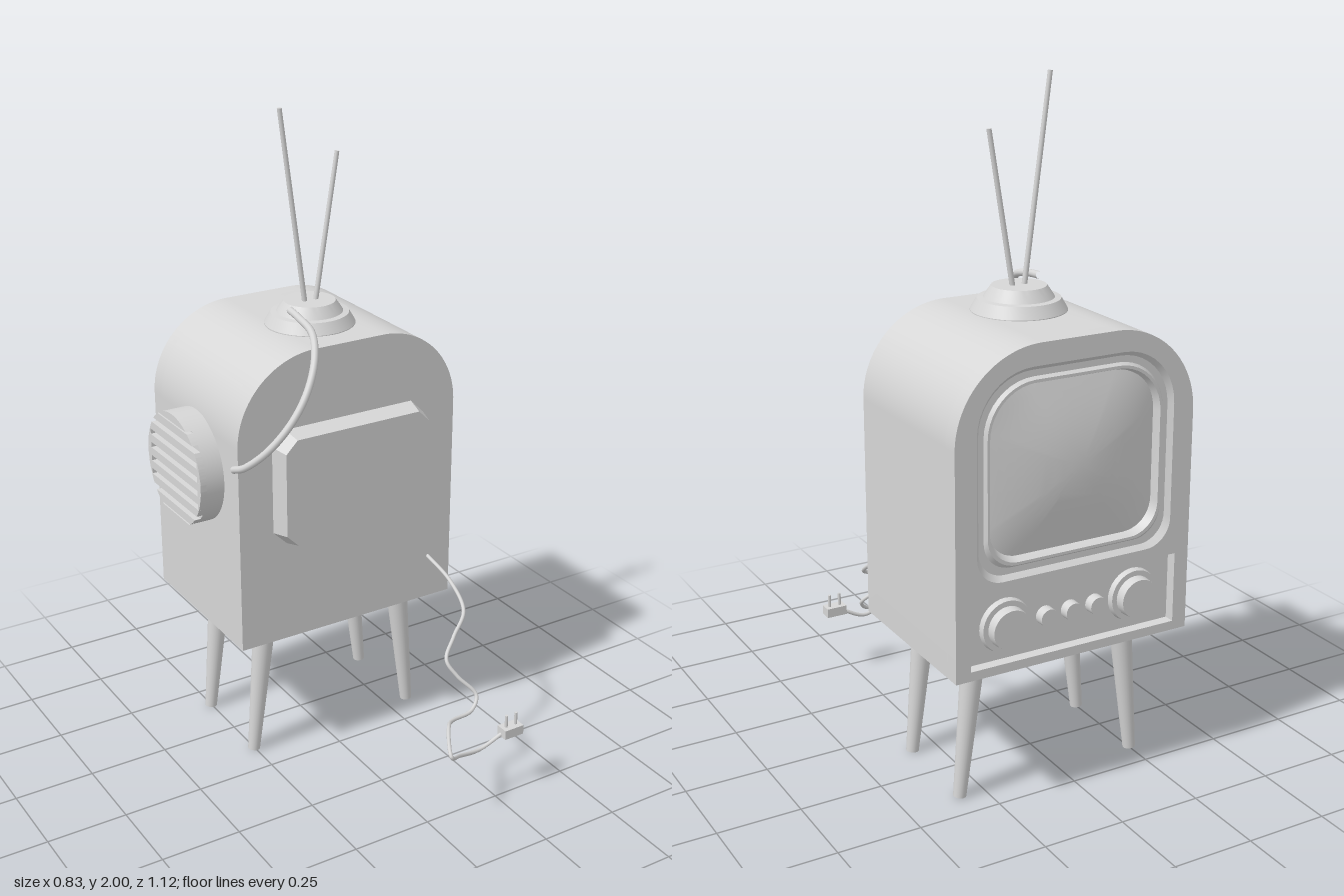
import * as THREE from 'three';
import { toCreasedNormals } from 'three/addons/utils/BufferGeometryUtils.js';

const V = (x, y, z) => new THREE.Vector3(x, y, z);
const CX = 0.038; // centre line of the cabinet
const SCREEN_Y = 0.995;

// Rounded (or chamfered, n = 1) rectangle, counter-clockwise
function outline(w, h, rTop, rBottom, n, cy = 0) {
  const pts = [];
  [[1, -1], [1, 1], [-1, 1], [-1, -1]].forEach(([sx, sy], q) => {
    const r = sy > 0 ? rTop : rBottom;
    for (let i = 0; i <= n; i++) {
      const a = (q - 1 + i / n) * Math.PI / 2;
      pts.push(new THREE.Vector2(sx * (w - r) + r * Math.cos(a), cy + sy * (h - r) + r * Math.sin(a)));
    }
  });
  return pts;
}

// Skin over rings of equal point count; a ring may be one repeated point
function loft(rings, crease) {
  const pos = [];
  const tri = (...p) => p.forEach(v => pos.push(v.x, v.y, v.z));
  for (let i = 0; i < rings.length - 1; i++) {
    const A = rings[i], B = rings[i + 1], n = A.length;
    for (let j = 0; j < n; j++) {
      const k = (j + 1) % n;
      tri(A[j], A[k], B[j]);
      if (B[j].distanceTo(B[k]) > 1e-6) tri(A[k], B[k], B[j]);
    }
  }
  const g = new THREE.BufferGeometry();
  g.setAttribute('position', new THREE.Float32BufferAttribute(pos, 3));
  return toCreasedNormals(g, crease);
}

export function createModel() {
  const model = new THREE.Group();
  model.name = 'television';
  const grey = new THREE.MeshStandardMaterial({ color: 0xd6d6d6 });
  grey.name = 'lightGrey';

  const add = (name, geo, parent = model) => {
    const m = new THREE.Mesh(geo, grey);
    m.name = name;
    parent.add(m);
    return m;
  };
  const extrude = (shape, depth) => toCreasedNormals(
    new THREE.ExtrudeGeometry(shape, { depth, bevelEnabled: false, curveSegments: 20 }), 0.5);
  // Tapered round bar between two points
  const bar = (name, a, b, ra, rb, sides = 16) => {
    const m = add(name, new THREE.CylinderGeometry(rb, ra, a.distanceTo(b), sides));
    m.position.copy(a).lerp(b, 0.5);
    m.quaternion.setFromUnitVectors(V(0, 1, 0), b.clone().sub(a).normalize());
  };
  const cable = (name, pts, r, segs) => {
    const curve = new THREE.CatmullRomCurve3(pts.map(p => V(...p)));
    add(name, new THREE.TubeGeometry(curve, segs, r, 10));
  };

  // Arched cabinet: solid rear and a front frame with two openings
  const arch = () => {
    const s = new THREE.Shape(), w = 0.375, r = 0.26, y0 = 0.433, y1 = 1.35;
    s.moveTo(-w, y0).lineTo(w, y0).lineTo(w, y1 - r);
    s.absarc(w - r, y1 - r, r, 0, Math.PI / 2);
    s.absarc(r - w, y1 - r, r, Math.PI / 2, Math.PI);
    s.lineTo(-w, y0);
    return s;
  };
  add('cabinet', extrude(arch(), 0.493)).position.set(CX, 0, -0.5);
  const face = arch();
  face.holes.push(new THREE.Path(outline(0.31, 0.293, 0.17, 0.08, 10, SCREEN_Y).reverse()));
  face.holes.push(new THREE.Path([[-0.33, 0.46], [-0.33, 0.67], [0.33, 0.67], [0.33, 0.46]]
    .map(p => new THREE.Vector2(...p))));
  add('frontFrame', extrude(face, 0.05)).position.set(CX, 0, -0.55);

  // Screen side, built facing +z and turned round
  const front = new THREE.Group();
  front.name = 'screenSide';
  front.position.x = CX;
  front.rotation.y = Math.PI;
  model.add(front);

  const ring = (w, h, rt, rb, z) => outline(w, h, rt, rb, 10, SCREEN_Y).map(p => V(p.x, p.y, z));
  const GW = 0.26, GH = 0.238;
  add('screenBezel', loft([
    ring(0.31, 0.293, 0.17, 0.08, 0.55), ring(0.298, 0.28, 0.16, 0.08, 0.535),
    ring(0.282, 0.262, 0.15, 0.085, 0.535), ring(0.275, 0.255, 0.145, 0.09, 0.545),
    ring(0.268, 0.247, 0.14, 0.09, 0.545), ring(GW, GH, 0.13, 0.09, 0.52)
  ], 0.4), front);
  // Bulging glass
  const rim = ring(GW, GH, 0.13, 0.09, 0);
  const glass = [];
  for (let i = 10; i >= 0; i--) {
    glass.push(rim.map(p => {
      const x = p.x * i / 10, dy = (p.y - SCREEN_Y) * i / 10;
      return V(x, SCREEN_Y + dy, 0.521 + 0.042 * (1 - (x / GW) ** 2) * (1 - (dy / GH) ** 2));
    }));
  }
  add('screen', loft(glass, 0.6), front);

  // Control panel with two dials and three small knobs
  add('controlPanel', new THREE.BoxGeometry(0.66, 0.21, 0.02), front).position.set(0, 0.565, 0.508);
  const knob = (name, x, r, z0, z1) => {
    const g = new THREE.CylinderGeometry(r * 0.95, r, z1 - z0, 32).rotateX(Math.PI / 2);
    add(name, g, front).position.set(x, 0.56, (z0 + z1) / 2);
  };
  for (const s of [-1, 1]) {
    knob('dialBase', s * 0.207, 0.08, 0.515, 0.535);
    knob('dial', s * 0.207, 0.061, 0.53, 0.563);
  }
  for (const x of [-0.08, 0, 0.08]) knob('smallKnob', x, 0.028, 0.515, 0.547);

  // Rear housing with cut corners
  const cut = (w, h, c, z) => outline(w, h, c, c, 1).map(p => V(p.x, p.y, z));
  add('rearHousing', loft([cut(0.264, 0.184, 0.045, -0.012), cut(0.248, 0.169, 0.038, 0.051),
    cut(0.248, 0.169, 0.038, 0.051).map(() => V(0, 0, 0.051))], 0.1)).position.set(0.038, 0.938, 0);

  // Round side speaker: drum, horizontal slats and side rims
  const speaker = new THREE.Group();
  speaker.name = 'speaker';
  speaker.position.set(-0.335, 0.953, -0.27);
  speaker.rotation.y = -Math.PI / 2;
  model.add(speaker);
  const R = 0.175;
  add('speakerDrum', new THREE.CylinderGeometry(R, R, 0.06, 48).rotateX(Math.PI / 2), speaker).position.z = 0.03;
  const slat = (y0, y1) => {
    const s = new THREE.Shape(), a = Math.asin(y0 / R), b = Math.asin(y1 / R);
    s.absarc(0, 0, R, a, b).absarc(0, 0, R, Math.PI - b, Math.PI - a);
    add('speakerSlat', extrude(s, 0.02), speaker).position.z = 0.06;
  };
  for (let i = -3; i <= 3; i++) slat(i * 0.044 - 0.013, i * 0.044 + 0.013);
  slat(0.15, R);
  slat(-R, -0.15);
  for (const s of [0, Math.PI]) {
    const edge = new THREE.Shape().absarc(0, 0, R, s - 0.5, s + 0.5);
    add('speakerRim', extrude(edge, 0.0195), speaker).position.z = 0.06;
  }

  // Splayed tapering legs
  for (const z of [-0.111, -0.408])
    for (const s of [-1, 1])
      bar('leg', V(CX + s * 0.29, 0, z), V(CX + s * 0.243, 0.445, z), 0.019, 0.035, 24);

  // Aerial
  const profile = [[0.137, 1.33], [0.137, 1.352], [0.118, 1.385], [0.1, 1.387], [0.095, 1.395], [0.078, 1.42], [0, 1.42]]
    .map(p => new THREE.Vector2(...p));
  add('aerialBase', toCreasedNormals(new THREE.LatheGeometry(profile, 48).toNonIndexed(), 0.3))
    .position.set(0.03, 0, -0.22);
  bar('aerialRod', V(0.012, 1.41, -0.217), V(-0.066, 2, -0.217), 0.008, 0.007);
  bar('aerialRod', V(0.048, 1.41, -0.217), V(0.124, 1.856, -0.217), 0.008, 0.007);
  cable('aerialCable', [[-0.073, 1.422, -0.158], [-0.077, 1.416, -0.1], [-0.085, 1.395, -0.01], [-0.12, 1.34, 0.06],
    [-0.17, 1.265, 0.1], [-0.225, 1.19, 0.108], [-0.29, 1.11, 0.085], [-0.335, 1.05, 0.03],
    [-0.342, 1.025, -0.025]], 0.011, 60);

  // Power lead and plug
  cable('powerLead', [[0.33, 0.58, -0.02], [0.345, 0.53, 0.1], [0.335, 0.47, 0.19], [0.26, 0.425, 0.245],
    [0.207, 0.38, 0.285], [0.225, 0.335, 0.32], [0.265, 0.28, 0.365], [0.235, 0.247, 0.385],
    [0.15, 0.25, 0.405], [0.1, 0.268, 0.455], [0.04, 0.245, 0.556], [0.1, 0.205, 0.515],
    [0.2, 0.175, 0.482], [0.275, 0.205, 0.485]], 0.006, 140);
  add('plug', new THREE.BoxGeometry(0.067, 0.03, 0.04)).position.set(0.304, 0.213, 0.49);
  for (const x of [0.287, 0.322]) bar('plugPin', V(x, 0.22, 0.49), V(x, 0.268, 0.49), 0.005, 0.005, 10);

  return model;
}
